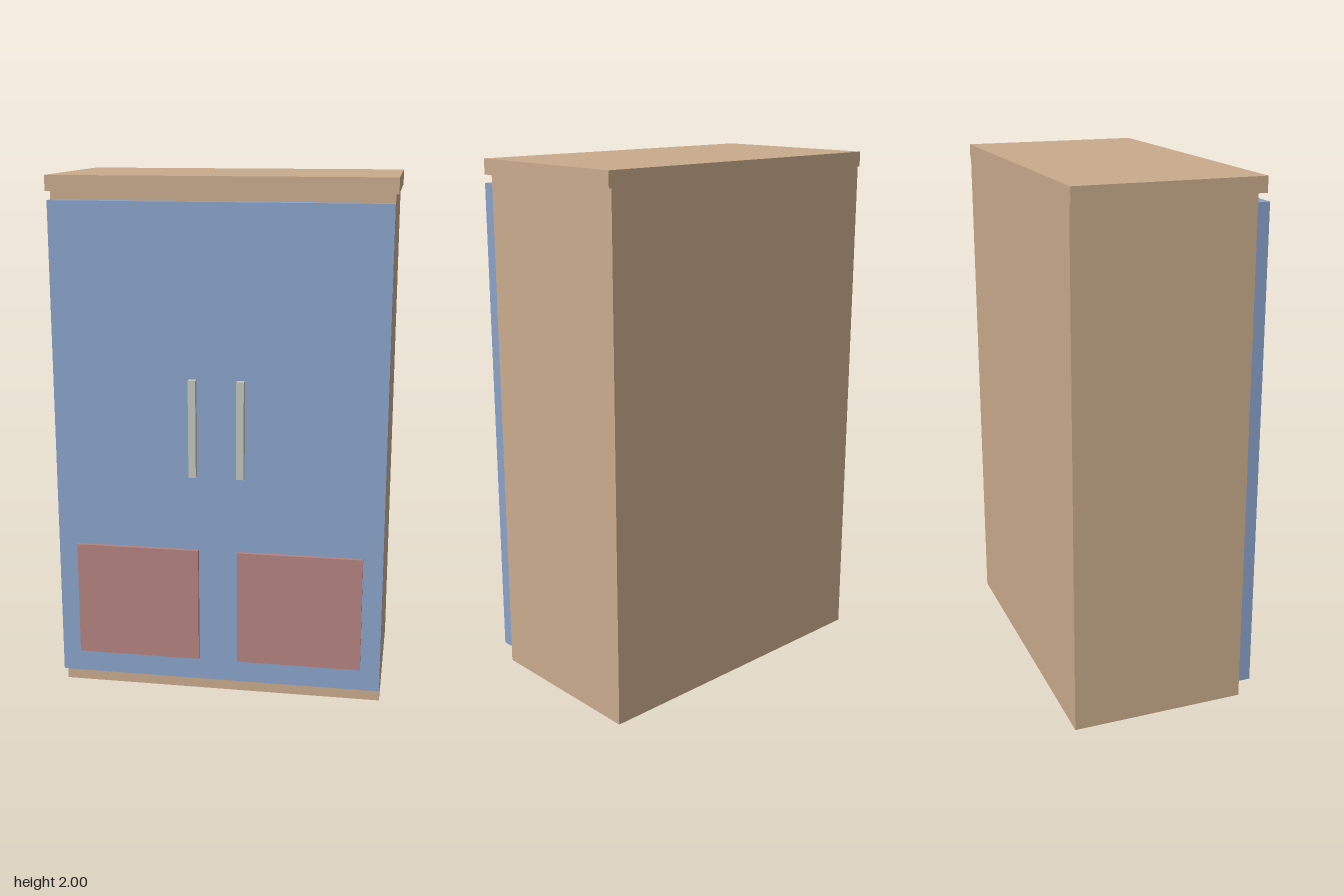
import * as THREE from 'three';

const material = (name, color) => {
  const m = new THREE.MeshStandardMaterial({ color });
  m.name = name;
  return m;
};

export function createModel() {
  const group = new THREE.Group();
  group.name = 'cabinet';

  const wood = material('tan wood', 0xc9ab8d);
  const blue = material('blue door', 0x8aa2ca);
  const red = material('dusty red panel', 0xb38480);
  const metal = material('pale grey handle', 0xc3c5bd);

  // Box given by its lower and upper limits on each axis
  const box = (name, mat, [x0, x1], [y0, y1], [z0, z1]) => {
    const mesh = new THREE.Mesh(new THREE.BoxGeometry(x1 - x0, y1 - y0, z1 - z0), mat);
    mesh.position.set((x0 + x1) / 2, (y0 + y1) / 2, (z0 + z1) / 2);
    mesh.name = name;
    group.add(mesh);
  };

  // Carcass and overhanging top, flush at the back
  box('body', wood, [-0.627, 0.627], [0, 1.943], [-0.38, 0.291]);
  box('topBoard', wood, [-0.638, 0.638], [1.943, 2], [-0.38, 0.32]);

  // Door front
  box('doorFront', blue, [-0.627, 0.627], [0.062, 1.911], [0.291, 0.336]);

  // Mirrored lower panels and handles, the handles standing clear of the door
  for (const side of [-1, 1]) {
    const label = side > 0 ? 'left' : 'right';
    const span = (a, b) => (side > 0 ? [a, b] : [-b, -a]);
    box(label + 'Panel', red, span(0.075, 0.552), [0.152, 0.6], [0.336, 0.352]);
    box(label + 'Handle', metal, span(0.076, 0.104), [0.9, 1.27], [0.352, 0.38]);
  }

  return group;
}
